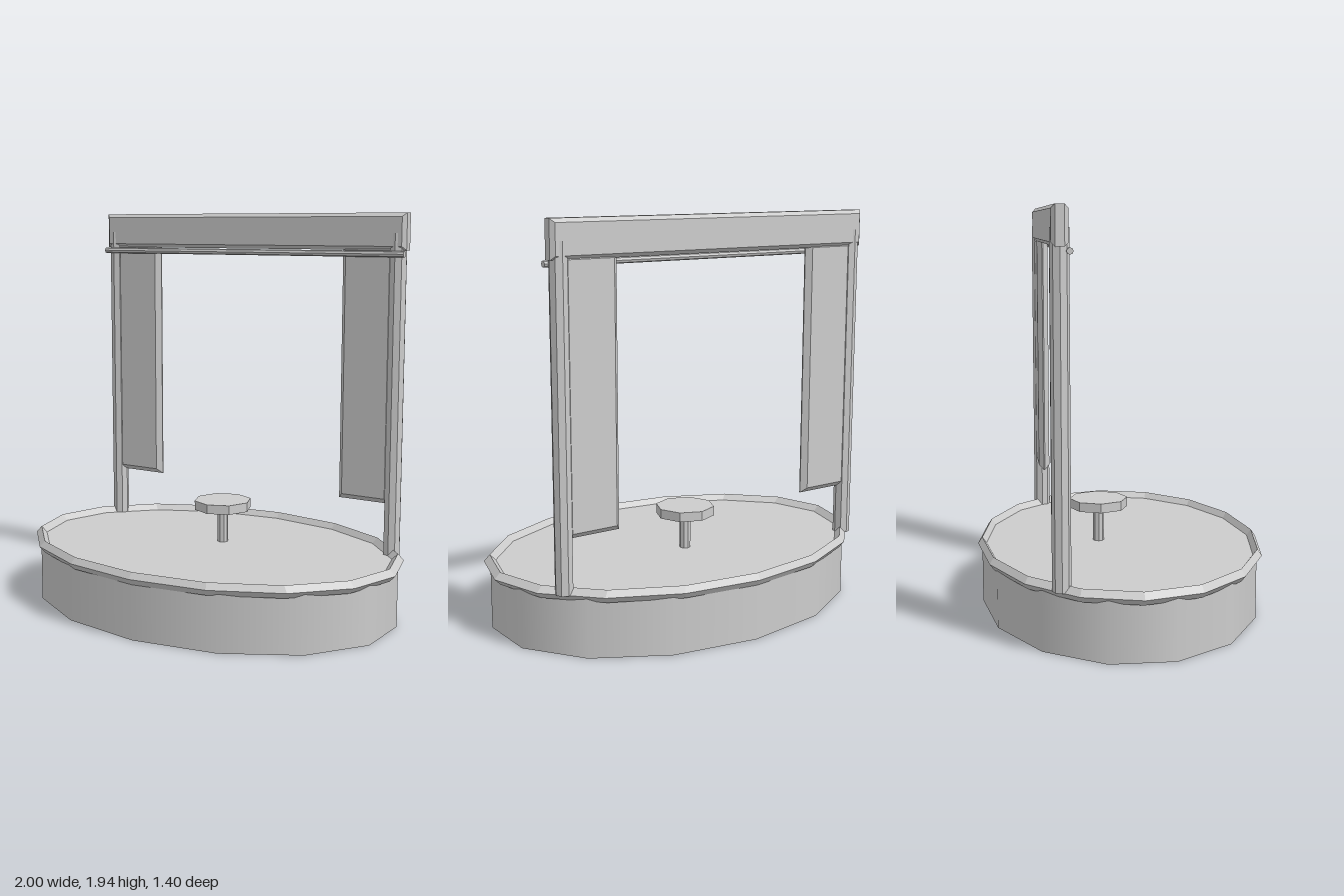
import * as THREE from 'three';

export function createModel() {
  const model = new THREE.Group();
  const grey = new THREE.MeshStandardMaterial({ color: 0xcccccc });
  grey.name = 'stone grey';

  function add(name, geometry, x = 0, y = 0, z = 0) {
    const mesh = new THREE.Mesh(geometry, grey);
    mesh.name = name;
    mesh.position.set(x, y, z);
    model.add(mesh);
    return mesh;
  }

  // Faceted copy of a geometry, with one normal per face
  function faceted(geometry) {
    const flat = geometry.toNonIndexed();
    flat.computeVertexNormals();
    return flat;
  }

  // Box with chamfered edges, centred on its origin
  function chamferBox(w, h, d, b) {
    const x = w / 2 - b, y = h / 2 - b;
    const shape = new THREE.Shape([
      new THREE.Vector2(-x, -y), new THREE.Vector2(x, -y),
      new THREE.Vector2(x, y), new THREE.Vector2(-x, y),
    ]);
    const geometry = new THREE.ExtrudeGeometry(shape, {
      depth: d - 2 * b, bevelEnabled: true, bevelSize: b, bevelThickness: b, bevelSegments: 1,
    });
    return geometry.translate(0, 0, b - d / 2);
  }

  const frameZ = -0.34;
  const floorY = 0.295;

  // Oval drum with smooth sides and a diamond-section rim
  const drum = new THREE.CylinderGeometry(0.97, 0.97, floorY, 14).scale(1, 1, 0.7);
  add('baseDrum', drum, 0, floorY / 2, 0);
  const rim = new THREE.TorusGeometry(0.97, 0.03, 4, 16).rotateX(-Math.PI / 2).scale(1, 1, 0.7);
  add('baseRim', faceted(rim), 0, floorY, 0);

  // Small pedestal table
  add('tableStem', faceted(new THREE.CylinderGeometry(0.027, 0.027, 0.19, 8)), 0, 0.38, -0.1);
  add('tableTop', faceted(new THREE.CylinderGeometry(0.145, 0.145, 0.046, 8)), 0, 0.488, -0.1);

  // Posts and hanging side panels, mirrored
  for (const [side, s] of [['left', 1], ['right', -1]]) {
    const post = new THREE.CylinderGeometry(0.042, 0.042, 1.555, 8);
    add(side + 'Post', faceted(post), s * 0.826, floorY + 1.555 / 2, frameZ);
    add(side + 'Panel', chamferBox(0.28, 1.25, 0.056, 0.025), s * 0.678, 1.17, frameZ);
  }

  // Top beam and the thin rod along its front lower edge
  add('topBeam', chamferBox(1.75, 0.175, 0.075, 0.018), 0, 1.857, frameZ);
  const rod = new THREE.CylinderGeometry(0.015, 0.015, 1.75, 8).rotateZ(Math.PI / 2);
  add('curtainRod', faceted(rod), 0, 1.752, -0.299);

  return model;
}
